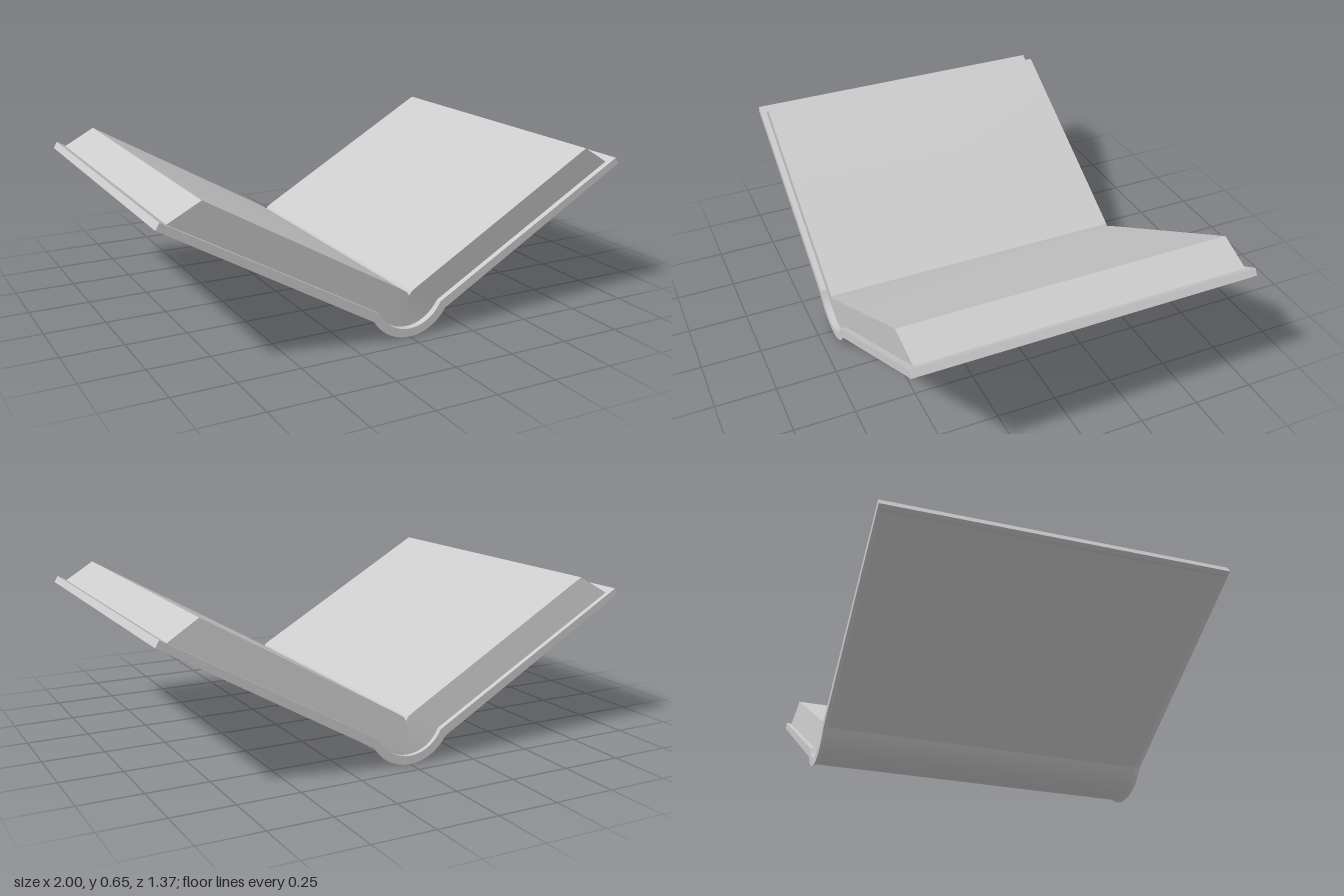
import * as THREE from 'three';
import { toCreasedNormals } from 'three/addons/utils/BufferGeometryUtils.js';

const SPINE_Y = 0.187; // centre height of the rounded spine
const mat = new THREE.MeshStandardMaterial({ color: 0xcccccc });

// Points of a spine arc, from the left half (-x) round to the right half
function arc(radius, degrees, n = 18) {
  return Array.from({ length: n + 1 }, (_, i) => {
    const a = THREE.MathUtils.degToRad(degrees) * ((2 * i) / n - 1);
    return [radius * Math.sin(a), SPINE_Y - radius * Math.cos(a)];
  });
}

// Mirror the right half of a profile line to the left
const mirror = (pts) => pts.map(([x, y]) => [-x, y]).reverse();

// Height measured square to the sloping boards
const heightAbove = (x, y) => 0.866 * y - 0.5 * Math.abs(x) - 0.028;

// Extrude a closed profile along z and move every vertex by a rule
function extrude(name, pts, steps, rule) {
  const shape = new THREE.Shape(pts.map(([x, y]) => new THREE.Vector2(x, y)));
  const geo = new THREE.ExtrudeGeometry(shape, { depth: 1, steps, bevelEnabled: false });
  geo.deleteAttribute('uv');
  const p = geo.attributes.position;
  const v = new THREE.Vector3();
  for (let i = 0; i < p.count; i++) {
    rule(v.fromBufferAttribute(p, i));
    p.setXYZ(i, v.x, v.y, v.z);
  }
  const mesh = new THREE.Mesh(toCreasedNormals(geo, 0.4), mat);
  mesh.name = name;
  return mesh;
}

export function createModel() {
  const group = new THREE.Group();
  group.name = 'openBook';

  // Cover: two boards joined by a round spine, with a shallow recess outside
  const outerEdge = [[0.972, 0.559], [0.985, 0.566], [1, 0.575]];
  const tip = [0.985, 0.601];
  const coverProfile = [
    [-tip[0], tip[1]], ...mirror(outerEdge), ...arc(SPINE_Y, 58.7), ...outerEdge,
    tip, ...arc(0.153, 64).reverse(),
  ];
  const stations = [-0.685, -0.668, 0.668, 0.685];
  group.add(extrude('cover', coverProfile, 3, (v) => {
    const k = Math.round(v.z * 3);
    v.z = stations[k];
    if (k === 0 || k === 3 || Math.abs(v.x) > 0.98) return;
    const r = Math.hypot(v.x, v.y - SPINE_Y);
    if (Math.abs(v.x) < 0.17) {
      if (r > 0.17) { // spine shrinks towards its centre
        v.x *= 0.95;
        v.y = SPINE_Y + (v.y - SPINE_Y) * 0.95;
      }
    } else if (heightAbove(v.x, v.y) < 0.01) { // boards are pushed inwards
      v.x -= Math.sign(v.x) * 0.004;
      v.y += 0.007;
    }
  }));

  // Pages: one block with slanted fore-edges, a gutter and slightly leaning ends
  const pageEdge = [[0.953, 0.583], [0.83, 0.655], [0.03, 0.194], [0.01, 0.181]];
  const pageProfile = [
    ...arc(0.153, 64), ...pageEdge, [0, 0.165], ...mirror(pageEdge),
  ];
  group.add(extrude('pages', pageProfile, 1, (v) => {
    const lean = (0.015 * heightAbove(v.x, v.y)) / 0.124;
    v.z = (v.z > 0.5 ? 0.66 : -0.665) + lean;
  }));

  return group;
}
